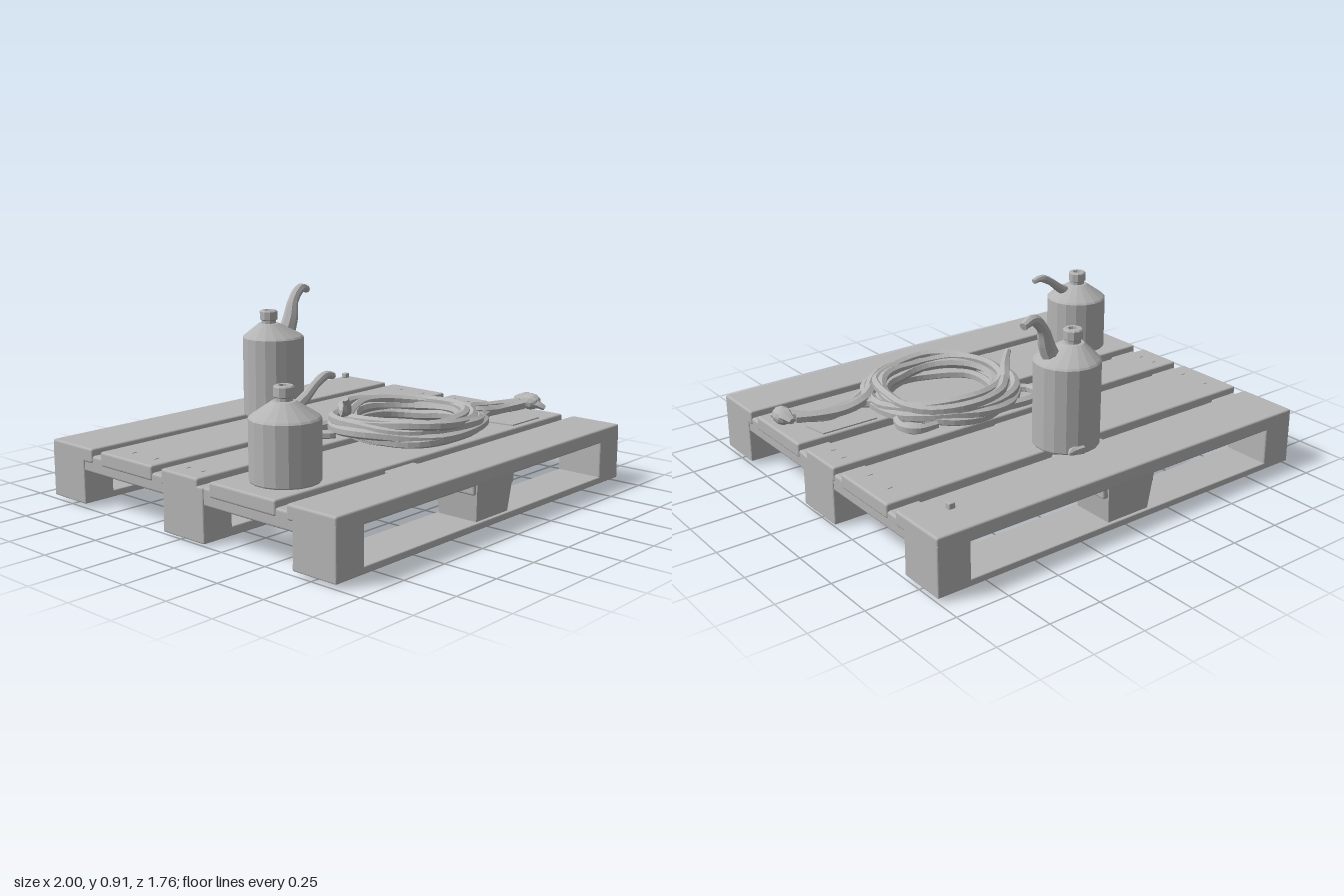
import * as THREE from 'three';
import { RoundedBoxGeometry } from 'three/addons/geometries/RoundedBoxGeometry.js';

const grey = new THREE.MeshStandardMaterial({ color: 0xb4b4b4, flatShading: true });
grey.name = 'plain grey';

function add(parent, name, geometry) {
  const mesh = new THREE.Mesh(geometry, grey);
  mesh.name = name;
  parent.add(mesh);
  return mesh;
}

// Softly rounded box given by its limits on each axis
function slab(parent, name, x0, x1, y0, y1, z0, z1, r = 0.01) {
  const mesh = add(parent, name, new RoundedBoxGeometry(x1 - x0, y1 - y0, z1 - z0, 2, r));
  mesh.position.set((x0 + x1) / 2, (y0 + y1) / 2, (z0 + z1) / 2);
  return mesh;
}

// Tube along points whose radius follows a list of values; ends are closed
function taperedTube(points, radii, sides = 8, n = 20) {
  const path = new THREE.CatmullRomCurve3(points.map(p => new THREE.Vector3(...p)));
  const geometry = new THREE.TubeGeometry(path, n, 1, sides);
  const pos = geometry.attributes.position;
  const v = new THREE.Vector3();
  for (let i = 0; i <= n; i++) {
    // the first and last rings share the place of their neighbours and shrink to a point
    const t = i === 0 ? 1 / n : i === n ? 1 - 1 / n : i / n;
    const s = (i - 1) / (n - 2) * (radii.length - 1);
    const k = Math.max(0, Math.min(radii.length - 2, Math.floor(s)));
    const radius = i === 0 || i === n ? 0 : THREE.MathUtils.lerp(radii[k], radii[k + 1], s - k);
    const ringCentre = path.getPointAt(i / n);
    const target = path.getPointAt(t);
    for (let j = 0; j <= sides; j++) {
      const id = i * (sides + 1) + j;
      v.fromBufferAttribute(pos, id).sub(ringCentre).multiplyScalar(radius).add(target);
      pos.setXYZ(id, v.x, v.y, v.z);
    }
  }
  geometry.computeVertexNormals();
  return geometry;
}

function buildPallet() {
  const pallet = new THREE.Group();
  pallet.name = 'pallet';
  // Deck boards, back to front
  const boards = [[-0.88, -0.59], [-0.53, -0.18], [-0.12, 0.11], [0.18, 0.56], [0.62, 0.88]];
  for (const [z0, z1] of boards) slab(pallet, 'deckBoard', -1, 1, 0.215, 0.282, z0, z1);
  // Cross boards under the deck
  for (const [x0, x1] of [[-0.995, -0.84], [-0.14, 0.15], [0.84, 0.995]])
    slab(pallet, 'crossBoard', x0, x1, 0.17, 0.25, -0.87, 0.87);
  // Bottom runners with three blocks each
  for (const [z0, z1, y] of [[-0.88, -0.65, 0.018], [-0.11, 0.145, 0.008], [0.65, 0.88, 0.018]]) {
    slab(pallet, 'runner', -1, 1, y, 0.05, z0, z1, 0.006);
    for (const [x0, x1] of [[-1, -0.84], [0.84, 1]])
      slab(pallet, 'cornerBlock', x0, x1, y, 0.25, z0, z1, 0.008);
    // Middle block, wider at the top
    const block = new THREE.CylinderGeometry(0.13 * Math.SQRT2, 0.11 * Math.SQRT2, 0.2, 4, 1);
    block.rotateY(Math.PI / 4);
    block.scale(1, 1, (z1 - z0) / 0.26);
    add(pallet, 'middleBlock', block).position.set(0, 0.13, (z0 + z1) / 2);
  }
  slab(pallet, 'centrePad', -0.07, 0.04, 0, 0.02, -0.12, 0.15, 0.004);
  // Nail heads near the board ends
  for (const side of [-1, 1])
    for (const z of [-0.41, -0.26, -0.05, 0.04])
      slab(pallet, 'nailHead', side * 0.91 - 0.012, side * 0.91 + 0.012, 0.278, 0.285, z - 0.01, z + 0.01, 0.002);
  slab(pallet, 'looseChip', 0.83, 0.86, 0.31, 0.336, -0.765, -0.735, 0.004);
  slab(pallet, 'splinter', -0.35, -0.16, 0.235, 0.265, 0.54, 0.595, 0.005);
  return pallet;
}

// Oil can: body and shoulder, cap, curved spout
function buildCan(name, shoulder, neckX, spoutPoints, spoutRadii) {
  const can = new THREE.Group();
  can.name = name;
  const profile = [[0, 0], [0.146, 0], [0.15, 0.008], [0.15, shoulder - 0.008], [0.143, shoulder],
    [0.05, shoulder + 0.062], [0, shoulder + 0.066]];
  const body = new THREE.LatheGeometry(profile.map(p => new THREE.Vector2(...p)), 18);
  // Lean the shoulder towards the neck
  const pos = body.attributes.position;
  for (let i = 0; i < pos.count; i++)
    if (pos.getY(i) > shoulder + 0.03) pos.setX(i, pos.getX(i) + neckX);
  add(can, 'canBody', body);
  const cap = [[0.036, 0], [0.036, 0.025], [0.044, 0.03], [0.044, 0.068], [0.038, 0.074], [0.022, 0.074],
    [0.02, 0.062], [0, 0.062]];
  add(can, 'canCap', new THREE.LatheGeometry(cap.map(p => new THREE.Vector2(...p)), 10))
    .position.set(neckX, shoulder + 0.052, 0);
  add(can, 'canSpout', taperedTube(spoutPoints, spoutRadii));
  return can;
}

function buildRope() {
  const rope = new THREE.Group();
  rope.name = 'ropeCoil';
  // Strands: radius of the loop, height
  const strands = [[0.25, 0.315], [0.285, 0.305], [0.32, 0.308], [0.345, 0.325],
    [0.262, 0.352], [0.295, 0.345], [0.33, 0.352], [0.285, 0.375], [0.315, 0.375]];
  strands.forEach(([r, y], k) => {
    const points = [];
    for (let i = 0; i < 16; i++) {
      const a = i / 16 * Math.PI * 2;
      const radius = r + 0.018 * Math.sin(2 * a + k * 2.1) + 0.007 * Math.sin(5 * a + k * 1.3);
      const height = y + 0.008 * Math.sin(3 * a + k * 1.7) - 0.012 * Math.max(0, Math.cos(a)) * (y > 0.33 ? 1 : 0);
      points.push(new THREE.Vector3(0.21 + radius * Math.cos(a), height, 0.215 + radius * 0.97 * Math.sin(a)));
    }
    const path = new THREE.CatmullRomCurve3(points, true);
    add(rope, 'ropeStrand', new THREE.TubeGeometry(path, 44, 0.024, 6, true));
  });
  // Raised end at the left of the coil
  add(rope, 'ropeUpperEnd', taperedTube([[0.02, 0.36, 0.0], [-0.04, 0.375, 0.05], [-0.08, 0.41, 0.1],
    [-0.11, 0.455, 0.125], [-0.135, 0.485, 0.135]], [0.024, 0.026, 0.024, 0.014], 6));
  // Loose flattened loop beside the coil
  const loop = add(rope, 'looseLoop', taperedTube([[-0.1, 0, 0.08], [-0.165, 0, 0.03], [-0.16, 0, -0.06],
    [-0.08, 0, -0.085], [0.05, 0, -0.08], [0.2, 0, -0.1]], [0.02, 0.025, 0.025, 0.022], 6));
  loop.position.y = 0.3;
  add(rope, 'looseBend', taperedTube([[0.42, 0.31, -0.07], [0.53, 0.31, -0.06], [0.57, 0.31, 0.0],
    [0.54, 0.31, 0.1]], [0.02, 0.026, 0.02], 6));
  // Tails running to the knot at the right edge
  const tails = [
    [[0.46, 0.34, 0.42], [0.58, 0.34, 0.31], [0.7, 0.325, 0.29], [0.82, 0.32, 0.32], [0.93, 0.32, 0.37]],
    [[0.5, 0.33, 0.22], [0.6, 0.325, 0.33], [0.72, 0.31, 0.34], [0.83, 0.31, 0.35], [0.93, 0.325, 0.4]],
    [[0.38, 0.33, 0.49], [0.5, 0.32, 0.42], [0.62, 0.31, 0.36], [0.76, 0.31, 0.31], [0.87, 0.31, 0.37]]];
  for (const points of tails) add(rope, 'ropeTail', taperedTube(points, [0.026, 0.028, 0.024, 0.028], 6));
  const knot = add(rope, 'ropeKnot', new THREE.IcosahedronGeometry(0.045, 1));
  knot.position.set(0.953, 0.33, 0.4);
  knot.scale.set(0.95, 0.95, 1.3);
  add(rope, 'ropeFrayedEnd', taperedTube([[0.95, 0.33, 0.3], [0.955, 0.34, 0.37], [0.95, 0.32, 0.45],
    [0.965, 0.3, 0.49]], [0.015, 0.035, 0.025, 0.012], 6));
  return rope;
}

export function createModel() {
  const model = new THREE.Group();
  model.name = 'palletWithCansAndRope';
  model.add(buildPallet());

  const shortCan = buildCan('shortCan', 0.27, -0.005,
    [[0.05, 0.295, 0.01], [0.11, 0.33, 0.01], [0.17, 0.375, 0.01], [0.23, 0.402, 0.01], [0.288, 0.39, 0.01]],
    [0.026, 0.022, 0.019, 0.02, 0.014]);
  shortCan.position.set(-0.77, 0.28, 0.39);

  const tallCan = buildCan('tallCan', 0.395, -0.03,
    [[0.07, 0.4, 0.02], [0.1, 0.47, 0.02], [0.13, 0.55, 0.01], [0.19, 0.605, 0], [0.27, 0.59, -0.02]],
    [0.042, 0.036, 0.026, 0.025, 0.018]);
  tallCan.position.set(0.05, 0.28, -0.505);
  // Small crumpled scrap at the foot of the tall can
  add(tallCan, 'scrap', taperedTube([[0.02, 0.02, -0.13], [0.07, 0.022, -0.135], [0.12, 0.03, -0.16]],
    [0.03, 0.02, 0.006], 6));
  model.add(shortCan, tallCan, buildRope());

  // Thin torn sheet under the rope tail
  const outline = [[0.58, -0.2], [0.86, -0.2], [0.88, -0.32], [0.83, -0.42], [0.84, -0.53], [0.62, -0.53], [0.6, -0.4]];
  const sheet = new THREE.ExtrudeGeometry(new THREE.Shape(outline.map(p => new THREE.Vector2(...p))),
    { depth: 0.008, bevelEnabled: false });
  sheet.rotateX(-Math.PI / 2);
  add(model, 'tornSheet', sheet).position.y = 0.28;
  return model;
}
